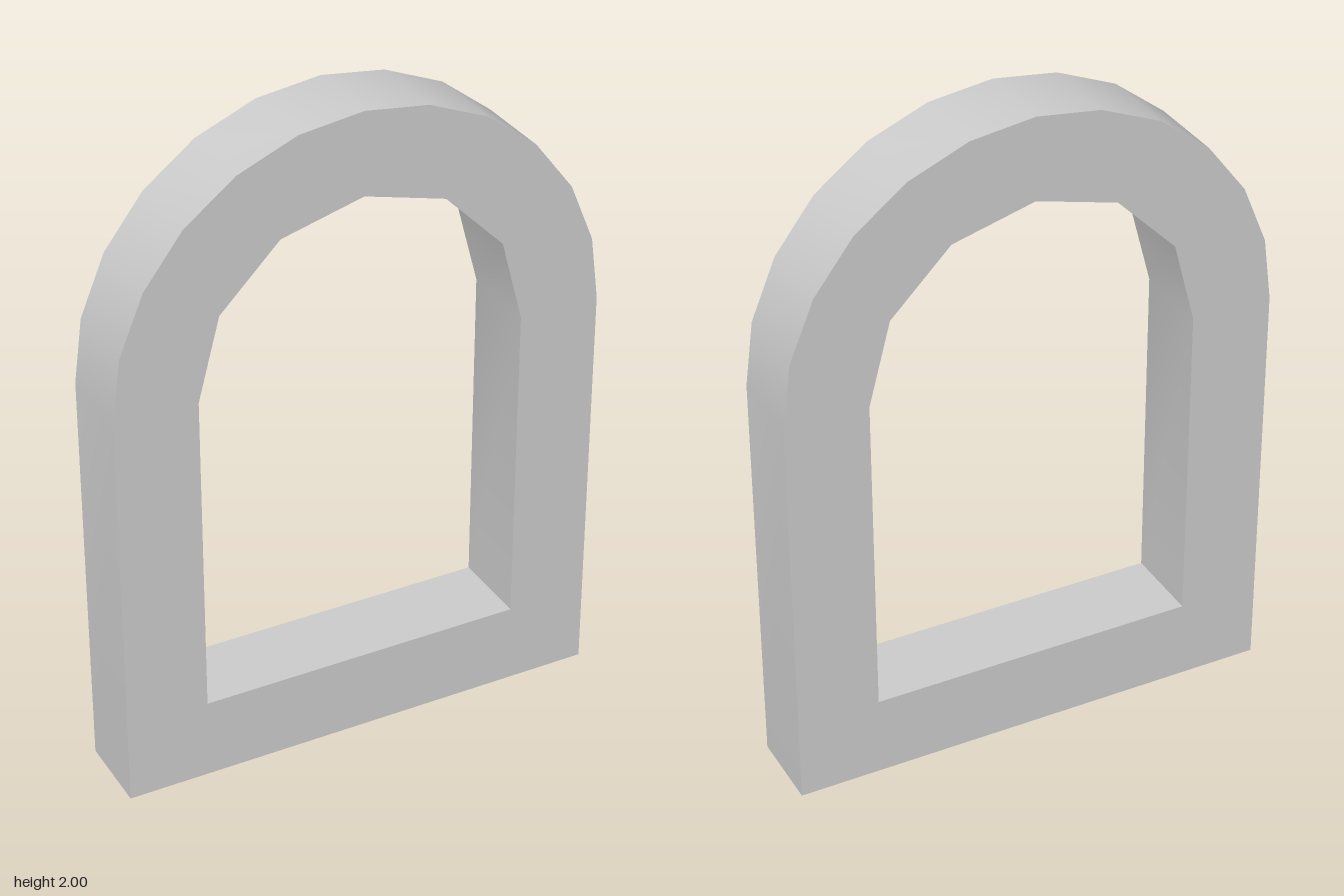
import * as THREE from 'three';
import { toCreasedNormals } from 'three/addons/utils/BufferGeometryUtils.js';

const DEPTH = 0.25;
const SPRING_Y = 1.25; // height where the arch begins

// Closed outline: straight jambs topped by a semicircle of the given segments
function archOutline(radius, bottomY, segments) {
  const points = [new THREE.Vector2(-radius, bottomY), new THREE.Vector2(radius, bottomY)];
  for (let i = 0; i <= segments; i++) {
    const a = (i / segments) * Math.PI;
    points.push(new THREE.Vector2(Math.cos(a) * radius, SPRING_Y + Math.sin(a) * radius));
  }
  return points;
}

export function createModel() {
  const model = new THREE.Group();
  model.name = 'archedWindow';

  // Frame with a finer outer arch and a coarser, faceted opening
  const shape = new THREE.Shape(archOutline(0.75, 0, 12));
  shape.holes.push(new THREE.Path(archOutline(0.5, 0.25, 6)));

  const geometry = new THREE.ExtrudeGeometry(shape, { depth: DEPTH, bevelEnabled: false });
  geometry.translate(0, 0, -DEPTH / 2);

  // Smooth the outer arch, keep the opening's facets and all rims sharp
  const frame = new THREE.Mesh(
    toCreasedNormals(geometry, THREE.MathUtils.degToRad(18)),
    new THREE.MeshStandardMaterial({ color: 0xcccccc })
  );
  frame.name = 'archedFrame';
  model.add(frame);
  return model;
}
